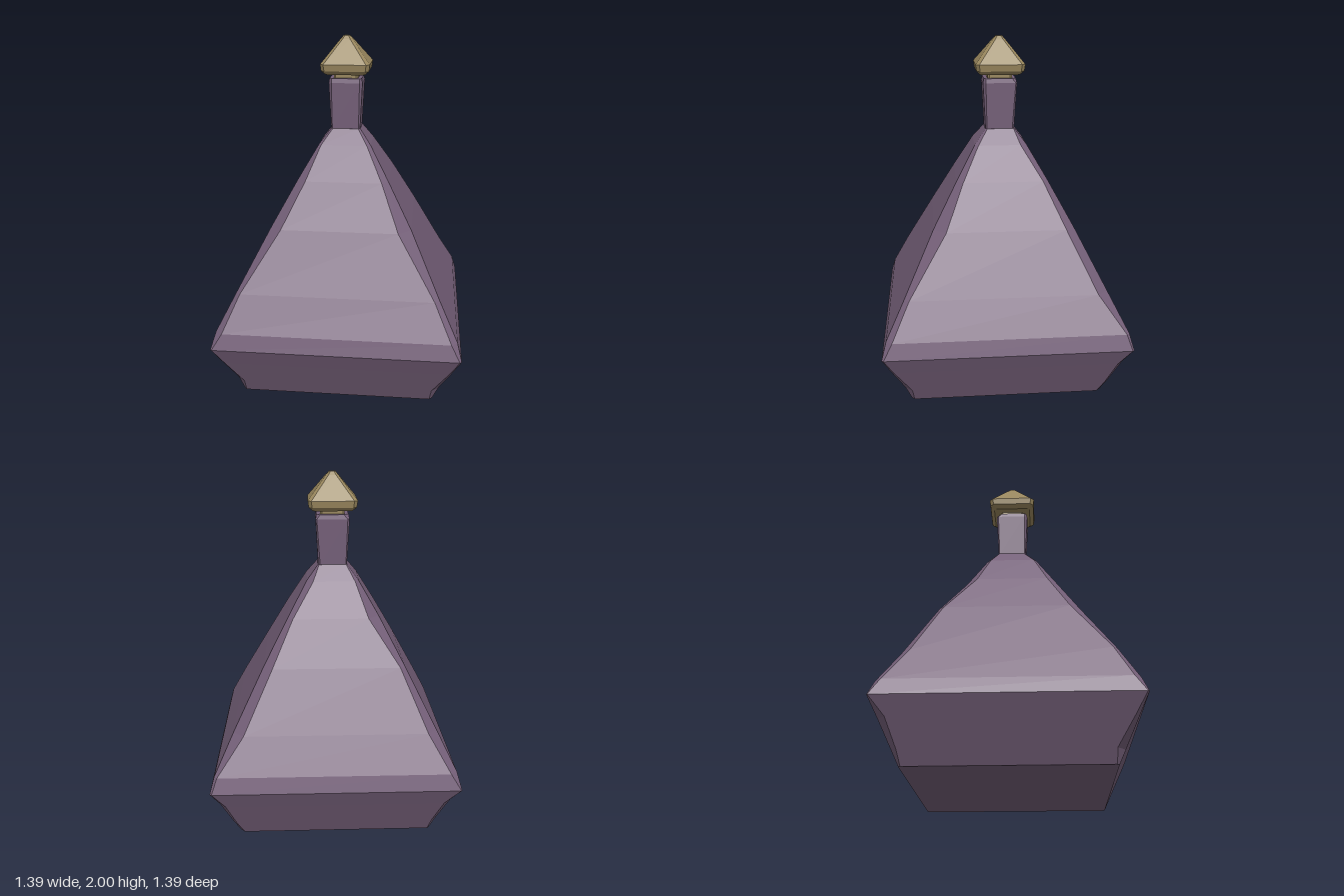
import * as THREE from 'three';

// Four corners of a square section: front left, back left, back right, front right
const CORNERS = [[1, 1], [1, -1], [-1, -1], [-1, 1]];

// Square loop with clipped corners; each corner has its own cut size
function section([y, half, cut], wear) {
  const points = [];
  CORNERS.forEach(([sx, sz], i) => {
    const inner = half - cut * wear[i];
    const onZ = [sx * inner, y, sz * half];
    const onX = [sx * half, y, sz * inner];
    points.push(...(i % 2 === 0 ? [onZ, onX] : [onX, onZ]));
  });
  return points;
}

// Closed solid skinned over a stack of sections, rows are [y, half width, corner cut]
function squareLoft(rows, wearAt) {
  const loops = rows.map((row, i) => section(row, wearAt(i)));
  const n = loops[0].length;
  const index = [];
  for (let r = 0; r < loops.length - 1; r++) {
    for (let i = 0; i < n; i++) {
      const j = (i + 1) % n;
      const a = r * n + i, b = r * n + j;
      index.push(a, b, b + n, a, b + n, a + n);
    }
  }
  const top = (loops.length - 1) * n;
  for (let i = 1; i < n - 1; i++) {
    index.push(0, i + 1, i, top, top + i, top + i + 1);
  }
  const geometry = new THREE.BufferGeometry();
  geometry.setAttribute('position', new THREE.Float32BufferAttribute(loops.flat(2), 3));
  geometry.setIndex(index);
  const flat = geometry.toNonIndexed();
  flat.computeVertexNormals();
  return flat;
}

export function createModel() {
  const group = new THREE.Group();
  const glass = new THREE.MeshStandardMaterial({ color: 0x745f78, flatShading: true });
  const gold = new THREE.MeshStandardMaterial({ color: 0x97855c, flatShading: true });
  glass.name = 'purple glass';
  gold.name = 'dull gold';

  const add = (name, rows, material, wearAt = () => [1, 1, 1, 1]) => {
    const mesh = new THREE.Mesh(squareLoft(rows, wearAt), material);
    mesh.name = name;
    group.add(mesh);
  };

  // Chipped corners, a little different at every level
  const chipped = (level) => CORNERS.map((_, i) => 1 + 0.45 * Math.sin(level * 2.3 + i * 1.9));

  // Bottle body: tapered foot, wide belly, long sloping shoulders
  add('bottleBody', [
    [0.005, 0.545, 0.015],
    [0.08, 0.58, 0.03],
    [0.23, 0.65, 0.03],
    [0.33, 0.697, 0.008],
    [0.42, 0.672, 0.03],
    [0.62, 0.57, 0.045],
    [0.95, 0.4, 0.05],
    [1.2, 0.262, 0.045],
    [1.39, 0.15, 0.025],
    [1.475, 0.085, 0.008],
  ], glass, chipped);

  // Neck, flaring slightly to the lip
  add('bottleNeck', [
    [1.47, 0.083, 0.008],
    [1.74, 0.097, 0.012],
    [1.765, 0.092, 0.02],
  ], glass, chipped);

  // Stopper plug and pyramid head
  add('stopperPlug', [
    [1.74, 0.07, 0.01],
    [1.8, 0.07, 0.01],
  ], gold);
  add('stopperHead', [
    [1.788, 0.112, 0.015],
    [1.81, 0.136, 0.02],
    [1.848, 0.141, 0.02],
    [1.98, 0.036, 0.014],
    [2.0, 0.018, 0.008],
  ], gold);

  return group;
}
